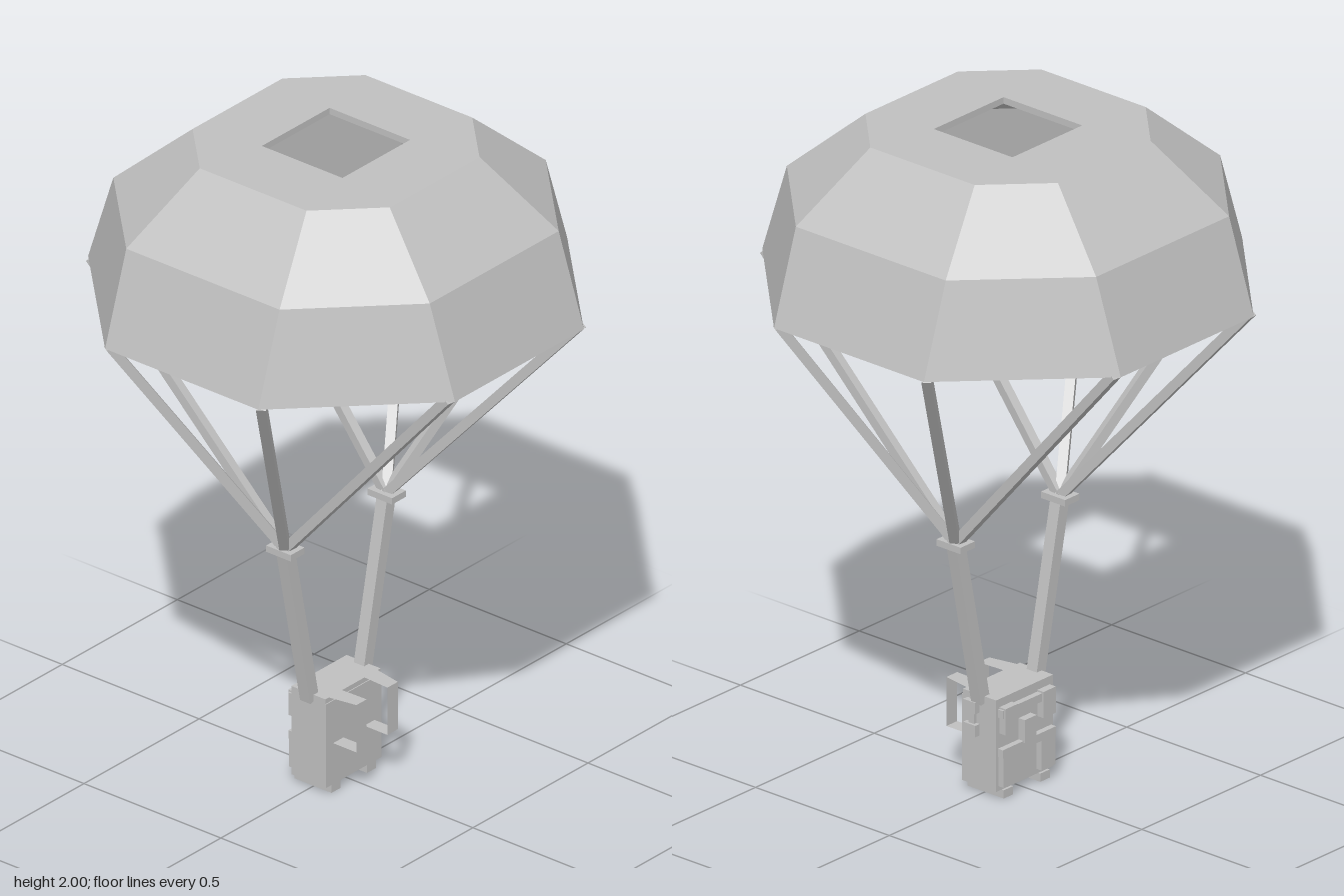
import * as THREE from 'three';

const grey = new THREE.MeshStandardMaterial({ color: 0xc0c0c0, side: THREE.DoubleSide });
grey.name = 'grey';

function add(parent, name, geometry) {
  const mesh = new THREE.Mesh(geometry, grey);
  mesh.name = name;
  parent.add(mesh);
  return mesh;
}

// Box given by its min and max on each axis
function box(parent, name, [x0, x1], [y0, y1], [z0, z1]) {
  const mesh = add(parent, name, new THREE.BoxGeometry(x1 - x0, y1 - y0, z1 - z0));
  mesh.position.set((x0 + x1) / 2, (y0 + y1) / 2, (z0 + z1) / 2);
  return mesh;
}

// Square bar between two points
function bar(parent, name, from, to, width) {
  const a = new THREE.Vector3(...from), b = new THREE.Vector3(...to);
  const mesh = add(parent, name, new THREE.BoxGeometry(width, width, a.distanceTo(b)));
  mesh.position.copy(a).add(b).multiplyScalar(0.5);
  mesh.lookAt(b);
  return mesh;
}

function flatGeometry(triangles) {
  const g = new THREE.BufferGeometry().setFromPoints(triangles);
  g.computeVertexNormals();
  return g;
}

// Eight corners of a ring: half extent r, corner offset c
function ring(y, r, c) {
  return [[r, c], [c, r], [-c, r], [-r, c], [-r, -c], [-c, -r], [c, -r], [r, -c]]
    .map(([x, z]) => new THREE.Vector3(x, y, z));
}

// Faceted shell: outside from the vent to the hem, then back up the inside
function canopyGeometry() {
  const rings = [
    ring(2, 0.147, 0.147), ring(2, 0.36, 0.195), ring(1.805, 0.578, 0.28), ring(1.525, 0.67, 0.28),
    ring(1.525, 0.652, 0.272), ring(1.796, 0.56, 0.272), ring(1.98, 0.352, 0.19), ring(1.98, 0.147, 0.147),
  ];
  const triangles = [];
  const tri = (a, b, c) => {
    if (a.equals(b) || b.equals(c) || a.equals(c)) return;
    triangles.push(a, b, c);
  };
  rings.forEach((upper, k) => {
    const lower = rings[(k + 1) % rings.length];
    for (let i = 0; i < 8; i++) {
      const j = (i + 1) % 8;
      tri(upper[i], upper[j], lower[j]);
      tri(upper[i], lower[j], lower[i]);
    }
  });
  return flatGeometry(triangles);
}

// Thin bent strip: rows of [y, z, inner x, outer x]
function strapGeometry(side) {
  const rows = [[0.306, 0.04, 0.05, 0.11], [0.305, 0.15, 0.045, 0.09],
    [0.155, 0.15, 0.045, 0.09], [0.155, 0.06, 0.045, 0.09]]
    .map(([y, z, a, b]) => {
      const p = [new THREE.Vector3(a * side, y, z), new THREE.Vector3(b * side, y, z)];
      return side > 0 ? p : p.reverse();
    });
  const triangles = [];
  for (let i = 0; i < rows.length - 1; i++) {
    const [a, b] = rows[i], [c, d] = rows[i + 1];
    triangles.push(a, c, d, a, d, b);
  }
  return flatGeometry(triangles);
}

export function createModel() {
  const model = new THREE.Group();
  model.name = 'parachute';

  add(model, 'canopy', canopyGeometry());

  // Rigging on each side
  const rigging = new THREE.Group();
  rigging.name = 'rigging';
  model.add(rigging);
  for (const s of [-1, 1]) {
    const x = s * 0.22;
    box(rigging, 'connector', [x - 0.03, x + 0.03], [0.79, 0.81], [-0.045, 0.045]);
    bar(rigging, 'riser', [s * 0.115, 0.285, 0], [x, 0.8, 0], 0.038);
    for (const t of [-1, 1]) {
      bar(rigging, 'sideLine', [x, 0.8, 0], [s * 0.655, 1.53, t * 0.278], 0.028);
      bar(rigging, 'endLine', [x, 0.8, 0], [s * 0.285, 1.53, t * 0.652], 0.028);
    }
  }

  // Backpack
  const pack = new THREE.Group();
  pack.name = 'backpack';
  model.add(pack);
  box(pack, 'body', [-0.12, 0.12], [0.025, 0.29], [-0.062, 0.065]);
  box(pack, 'lid', [-0.12, 0.12], [0.29, 0.305], [-0.062, 0.062]);
  for (const s of [-1, 1]) {
    box(pack, 'foot', [s * 0.077 - 0.02, s * 0.077 + 0.02], [0, 0.025], [-0.07, 0.065]);
    add(pack, 'shoulderStrap', strapGeometry(s));
    // Raised strips on the back
    box(pack, 'backStrip', [s * 0.08 - 0.026, s * 0.08 + 0.026], [0.2, 0.28], [-0.085, -0.062]);
    box(pack, 'lowerBackStrip', [s * 0.08 - 0.03, s * 0.08 + 0.03], [0.04, 0.13], [-0.08, -0.062]);
  }
  box(pack, 'backTopBand', [-0.112, 0.112], [0.25, 0.275], [-0.08, -0.062]);
  box(pack, 'backBelt', [-0.112, 0.112], [0.13, 0.155], [-0.08, -0.062]);
  box(pack, 'backBuckle', [-0.025, 0.025], [0.15, 0.22], [-0.085, -0.062]);

  // Side handle
  box(pack, 'handleTop', [0.12, 0.138], [0.25, 0.285], [0, 0.045]);
  box(pack, 'handleGrip', [0.12, 0.13], [0.215, 0.25], [0.012, 0.032]);
  box(pack, 'handleBottom', [0.12, 0.138], [0.18, 0.215], [0, 0.045]);

  return model;
}
